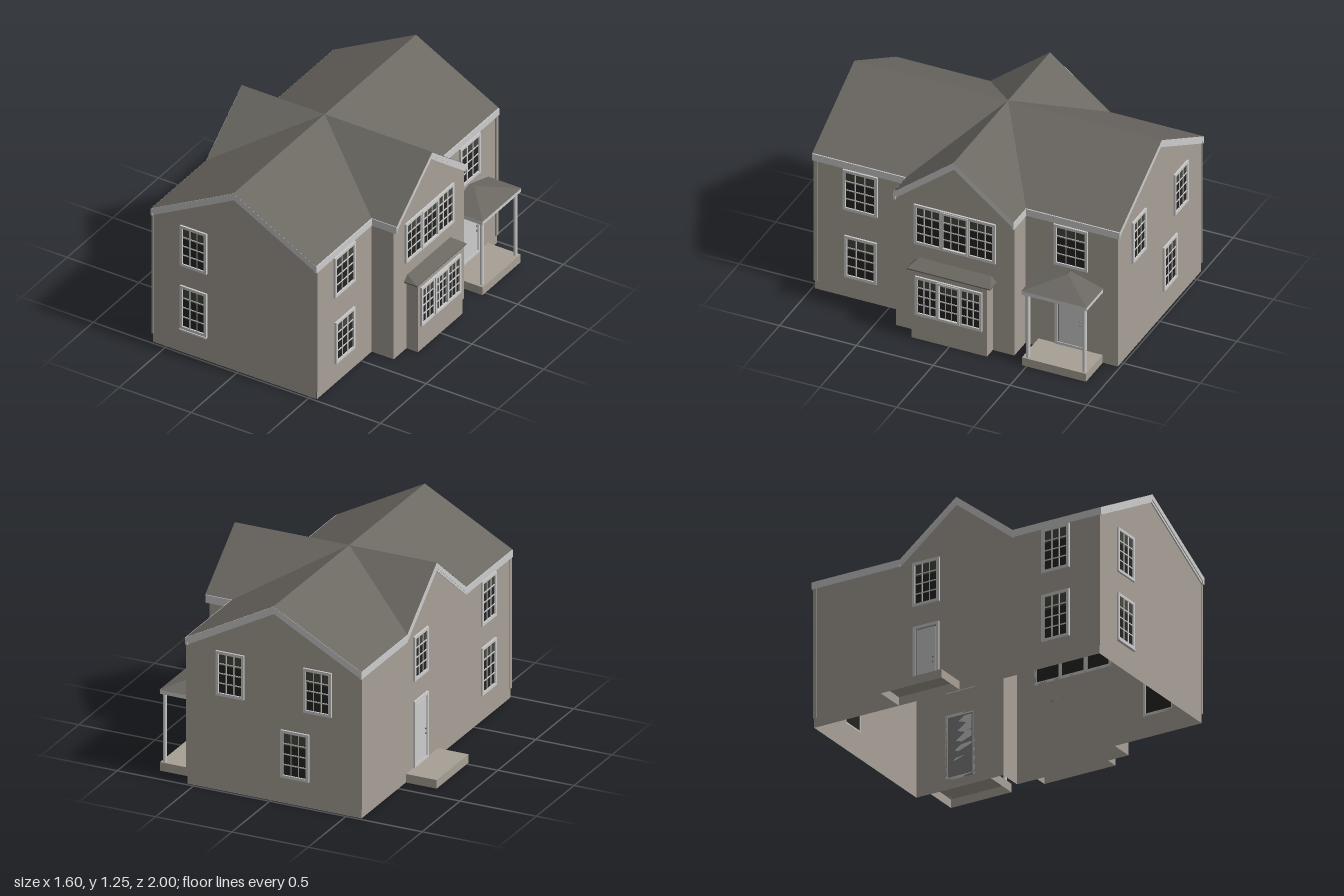
import * as THREE from 'three';

const mat = (name, color, side = THREE.DoubleSide) => {
  const m = new THREE.MeshStandardMaterial({ color, side });
  m.name = name;
  return m;
};
const wallMat = mat('wall stone', 0xa8a096);
const roofMat = mat('roof slate', 0x6b6862);
const trimMat = mat('white trim', 0xcdcdcd);
const glassMat = mat('dark glass', 0x252422);
const blindMat = mat('window blind', 0x46463d);
const greyMat = mat('door gap grey', 0x808080);

const RIDGE = 1.255, EAVE = 0.945, MID = -0.025, HALF = 0.575, WING = 0.39;

function add(parent, name, geo, material, x = 0, y = 0, z = 0) {
  const m = new THREE.Mesh(geo, material);
  m.name = name;
  m.position.set(x, y, z);
  parent.add(m);
  return m;
}

// Box given by its min and max corners
function block(parent, name, material, x0, x1, y0, y1, z0, z1) {
  return add(parent, name, new THREE.BoxGeometry(x1 - x0, y1 - y0, z1 - z0), material,
    (x0 + x1) / 2, (y0 + y1) / 2, (z0 + z1) / 2);
}

// Hollow box without a bottom
function openBlock(parent, name, ...bounds) {
  const m = block(parent, name, wallMat, ...bounds);
  const idx = Array.from(m.geometry.index.array);
  idx.splice(18, 6);
  m.geometry.setIndex(idx);
  m.geometry.clearGroups();
}

const poly = pts => new THREE.Shape(pts.map(p => new THREE.Vector2(p[0], p[1])));
const rect = (x0, x1, y0, y1) => [[x0, y0], [x1, y0], [x1, y1], [x0, y1]];

// Flat facets from convex polygons
function facets(polys) {
  const pos = [];
  for (const p of polys)
    for (let i = 1; i < p.length - 1; i++) pos.push(...p[0], ...p[i], ...p[i + 1]);
  const g = new THREE.BufferGeometry();
  g.setAttribute('position', new THREE.Float32BufferAttribute(pos, 3));
  g.computeVertexNormals();
  return g;
}

function frame(parent, name, x0, x1, y0, y1, t, depth) {
  const s = poly(rect(x0, x1, y0, y1));
  s.holes.push(poly(rect(x0 + t, x1 - t, y0 + t, y1 - t)));
  add(parent, name, new THREE.ExtrudeGeometry(s, { depth, bevelEnabled: false }), trimMat);
}

// Glazing of three columns by four rows with a blind at the top
function panes(parent, x0, x1, y0, y1) {
  const w = x1 - x0, h = y1 - y0, cx = (x0 + x1) / 2, cy = (y0 + y1) / 2;
  add(parent, 'glass', new THREE.PlaneGeometry(w, h), glassMat, cx, cy, 0.002);
  add(parent, 'blind', new THREE.PlaneGeometry(w, h * 0.3), blindMat, cx, y1 - h * 0.15, 0.0035);
  for (let i = 1; i < 3; i++)
    add(parent, 'muntin', new THREE.BoxGeometry(0.007, h, 0.004), trimMat, x0 + w * i / 3, cy, 0.006);
  for (let i = 1; i < 4; i++)
    add(parent, 'muntin', new THREE.BoxGeometry(w, 0.007, 0.004), trimMat, cx, y0 + h * i / 4, 0.006);
}

function makeWindow(parent, o) {
  const x0 = o.u - o.w / 2, x1 = o.u + o.w / 2, t = 0.018;
  frame(parent, 'windowFrame', x0, x1, o.y0, o.y1, t, 0.012);
  if (o.kind === 'triple') {
    const cw = (o.w - 2 * t - 0.05) / 3;
    for (let i = 0; i < 3; i++) {
      const a = x0 + t + i * (cw + 0.025);
      panes(parent, a, a + cw, o.y0 + t, o.y1 - t);
      if (i < 2) block(parent, 'mullion', trimMat, a + cw, a + cw + 0.025, o.y0 + t, o.y1 - t, 0, 0.012);
    }
    frame(parent, 'middleSash', o.u - cw / 2 - 0.015, o.u + cw / 2 + 0.015, o.y0 + 0.006, o.y1 - 0.006, 0.014, 0.018);
  } else panes(parent, x0 + t, x1 - t, o.y0 + t, o.y1 - t);
  if (o.sill) block(parent, 'windowSill', trimMat, x0, x1, o.y0 - 0.01, o.y0, 0, 0.018);
}

function makeDoor(parent, o) {
  const x0 = o.u - o.w / 2, x1 = o.u + o.w / 2;
  frame(parent, 'doorFrame', x0, x1, o.y0, o.y1, 0.018, 0.012);
  block(parent, 'doorGap', greyMat, x0 + 0.016, x1 - 0.016, o.y0, o.y1 - 0.016, 0, 0.003);
  block(parent, 'doorPanel', trimMat, x0 + 0.026, x1 - 0.026, o.y0 + 0.018, o.y1 - 0.026, 0, 0.008);
  for (const y of [0.225, 0.255])
    add(parent, 'doorKnob', new THREE.SphereGeometry(0.006, 8, 6), greyMat, x1 - 0.038, y, 0.012);
}

// Wall sheet with cut openings, facing along angle ry at the given distance
function wall(parent, name, ry, dist, outline, openings = []) {
  const turn = new THREE.Group(), g = new THREE.Group();
  turn.name = name;
  turn.rotation.y = ry;
  g.position.z = dist;
  turn.add(g);
  parent.add(turn);
  const s = poly(outline);
  for (const o of openings)
    s.holes.push(poly(rect(o.u - o.w / 2 + 0.01, o.u + o.w / 2 - 0.01, o.y0 + 0.01, o.y1 - 0.01)));
  add(g, name + 'Face', new THREE.ShapeGeometry(s), wallMat);
  for (const o of openings) (o.kind === 'door' ? makeDoor : makeWindow)(g, o);
  return g;
}

// Two stepped white bands under a gable edge
function rake(g, cx, half, z, reach) {
  for (const [t, depth] of [[0.05, reach * 0.6], [0.034, reach]]) {
    const top = RIDGE - 0.002, low = EAVE - 0.002;
    const s = poly([[cx - half, low], [cx - half, low - t], [cx, top - t], [cx + half, low - t], [cx + half, low], [cx, top]]);
    add(g, 'gableTrim', new THREE.ExtrudeGeometry(s, { depth, bevelEnabled: false }), trimMat, 0, 0, z);
  }
}

const win = (u, w, y0, y1, extra = {}) => ({ u, w, y0, y1, ...extra });
const door = (u, w) => ({ u, w, y0: 0.057, y1: 0.48, kind: 'door' });

export function createModel() {
  const house = new THREE.Group();
  house.name = 'house';
  const Q = Math.PI / 2, T = 0.935;

  // Gable end walls
  const gable = cx => [[cx - 0.57, 0], [cx + 0.57, 0], [cx + 0.57, T], [cx, 1.243], [cx - 0.57, T]];
  const front = wall(house, 'frontWall', 0, 0.985, gable(MID),
    [win(-0.308, 0.185, 0.61, 0.895), win(-0.308, 0.185, 0.17, 0.472, { sill: true })]);
  const back = wall(house, 'backWall', Math.PI, 0.985, gable(-MID),
    [win(-0.265, 0.185, 0.61, 0.895), win(0.308, 0.185, 0.61, 0.895), win(0.16, 0.185, 0.165, 0.47)]);
  rake(front, MID, HALF, 0, 0.014);
  rake(back, -MID, HALF, 0, 0.014);

  // Long side walls
  const left = wall(house, 'leftWall', -Q, 0.595,
    [[-0.985, 0], [0.985, 0], [0.985, T], [0.385, T], [0, 1.243], [-0.385, T], [-0.985, T]],
    [win(0.685, 0.19, 0.61, 0.895), win(0.685, 0.19, 0.165, 0.47), win(-0.21, 0.185, 0.61, 0.895), door(-0.21, 0.18)]);
  rake(left, 0, WING, 0, 0.007);
  wall(house, 'rightWallFront', Q, 0.547, rect(-0.985, -0.385, 0, T),
    [win(-0.688, 0.225, 0.61, 0.89), win(-0.685, 0.21, 0.14, 0.43)]);
  wall(house, 'rightWallBack', Q, 0.547, rect(0.385, 0.985, 0, T),
    [win(0.682, 0.22, 0.61, 0.89), door(0.682, 0.205)]);

  // Projecting wing
  const wing = wall(house, 'wingWall', Q, 0.7,
    [[-0.385, 0], [0.385, 0], [0.385, T], [0, 1.243], [-0.385, T]],
    [win(0, 0.53, 0.61, 0.885, { kind: 'triple' })]);
  rake(wing, 0, WING, 0, 0.024);
  wall(house, 'wingSideFront', 0, 0.385, rect(0.547, 0.7, 0, T));
  wall(house, 'wingSideBack', Math.PI, 0.385, rect(-0.7, -0.547, 0, T));

  // Roof with crossing ridges
  const c = [MID, RIDGE, 0], planes = [];
  for (const s of [1, -1]) planes.push(
    [c, [MID, RIDGE, s], [-0.6, EAVE, s], [-0.6, EAVE, WING * s]],
    [c, [MID, RIDGE, s], [0.55, EAVE, s], [0.55, EAVE, WING * s]],
    [c, [-0.6, RIDGE, 0], [-0.6, EAVE, WING * s]],
    [c, [0.725, RIDGE, 0], [0.725, EAVE, WING * s], [0.55, EAVE, WING * s]]);
  add(house, 'roof', facets(planes), roofMat);

  // Eave boards and corner strips at both ends
  for (const s of [1, -1]) {
    const span = (a, b) => (s > 0 ? [a, b] : [-b, -a]);
    block(house, 'eaveBoard', trimMat, 0.538, 0.555, 0.897, 0.943, ...span(0.385, 0.999));
    block(house, 'eaveBoard', trimMat, -0.602, -0.59, 0.897, 0.943, ...span(WING, 0.999));
    block(house, 'wingEaveBoard', trimMat, 0.547, 0.724, 0.893, 0.943, ...span(0.38, 0.392));
    for (const x of [0.545, -0.6])
      block(house, 'cornerStrip', wallMat, x, x + 0.01, 0.06, 0.9, ...span(0.967, 0.99));
  }

  // Bay under the wing window
  wall(house, 'bayFront', Q, 0.78, rect(-0.245, 0.245, 0, 0.485),
    [win(-0.002, 0.435, 0.17, 0.44, { kind: 'triple' })]);
  wall(house, 'baySideFront', 0, 0.245, rect(0.7, 0.78, 0, 0.485));
  wall(house, 'baySideBack', Math.PI, 0.245, rect(-0.78, -0.7, 0, 0.485));
  const A = [0.7, 0.515, 0.235], B = [0.7, 0.515, -0.235], C = [0.79, 0.484, -0.27], D = [0.79, 0.484, 0.27];
  const E = [0.7, 0.484, 0.27], F = [0.7, 0.484, -0.27];
  add(house, 'bayRoof', facets([[A, D, C, B], [A, E, D], [B, C, F], [E, F, C, D]]), roofMat);
  block(house, 'bayRoofEdge', roofMat, 0.7, 0.79, 0.475, 0.483, -0.27, 0.27);

  // Porch and side step
  openBlock(house, 'porchBase', 0.548, 0.775, 0, 0.055, -0.887, -0.47);
  openBlock(house, 'sideStep', -0.797, -0.596, 0, 0.055, -0.4, 0.02);
  for (const z of [-0.5, -0.867])
    add(house, 'porchPost', new THREE.CylinderGeometry(0.012, 0.012, 0.44, 16), trimMat, 0.752, 0.275, z);
  block(house, 'porchBeam', trimMat, 0.548, 0.775, 0.494, 0.519, -0.89, -0.468);
  block(house, 'porchCeiling', roofMat, 0.55, 0.765, 0.49, 0.494, -0.88, -0.478);
  const top = [0.585, 0.585, -0.68], wallTop = [0.548, 0.585, -0.68];
  const k = (x, z) => [x, 0.52, z];
  add(house, 'porchRoof', facets([
    [top, k(0.778, -0.467), k(0.778, -0.892)],
    [top, wallTop, k(0.548, -0.467), k(0.778, -0.467)],
    [top, k(0.778, -0.892), k(0.548, -0.892), wallTop]]), roofMat);
  return house;
}
